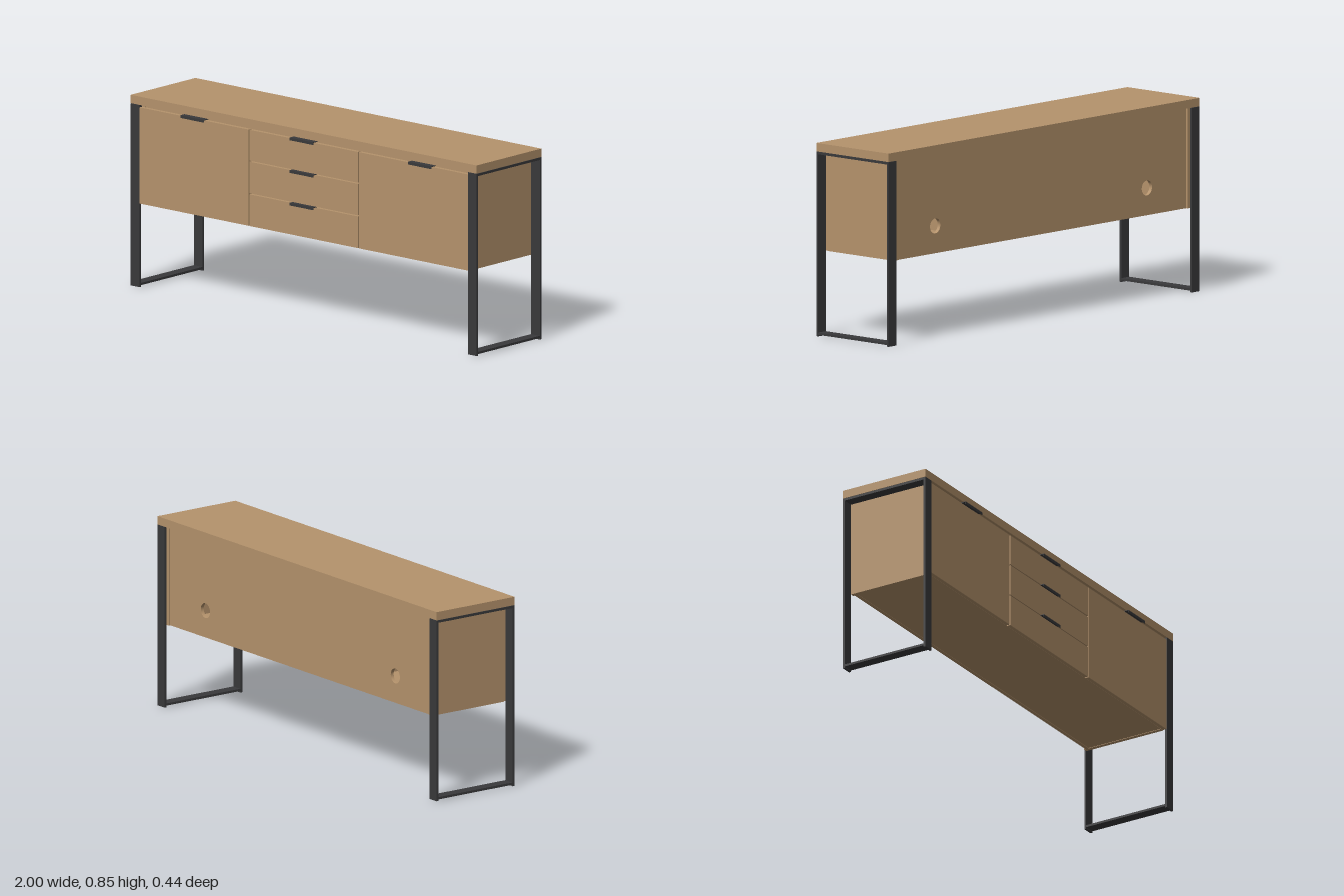
import * as THREE from 'three';

export function createModel() {
  const model = new THREE.Group();
  model.name = 'sideboard';
  const wood = new THREE.MeshStandardMaterial({ name: 'oak wood', color: 0xb5936c });
  const metal = new THREE.MeshStandardMaterial({ name: 'dark metal', color: 0x39393b });

  // Box given by its lower and upper limits on each axis
  function box(name, mat, [x0, x1], [y0, y1], [z0, z1], parent = model) {
    const mesh = new THREE.Mesh(new THREE.BoxGeometry(x1 - x0, y1 - y0, z1 - z0), mat);
    mesh.position.set((x0 + x1) / 2, (y0 + y1) / 2, (z0 + z1) / 2);
    mesh.name = name;
    parent.add(mesh);
    return mesh;
  }

  const FRONT = 0.205, BACK = -0.218;

  // Table top and hollow carcass
  box('tableTop', wood, [-1, 1], [0.811, 0.848], [BACK, FRONT]);
  box('carcassTop', wood, [-0.93, 0.93], [0.795, 0.811], [-0.195, 0.185]);
  box('carcassBottom', wood, [-0.932, 0.932], [0.372, 0.39], [-0.185, 0.185]);
  for (const s of [-1, 1]) {
    const xs = [s * 0.932, s * 0.95].sort((a, b) => a - b);
    box('sidePanel', wood, xs, [0.37, 0.811], [-0.208, 0.186]);
    box('divider', wood, [s * 0.316 - 0.009, s * 0.316 + 0.009], [0.39, 0.795], [-0.185, 0.185]);
  }

  // Back panel with two round cable holes
  const back = new THREE.Shape();
  back.moveTo(-0.932, 0.37);
  back.lineTo(0.932, 0.37);
  back.lineTo(0.932, 0.811);
  back.lineTo(-0.932, 0.811);
  back.closePath();
  for (const x of [-0.68, 0.68]) {
    back.holes.push(new THREE.Path().absarc(x, 0.49, 0.033, 0, Math.PI * 2, true));
  }
  const backPanel = new THREE.Mesh(
    new THREE.ExtrudeGeometry(back, { depth: 0.016, bevelEnabled: false, curveSegments: 24 }), wood);
  backPanel.position.z = -0.2;
  backPanel.name = 'backPanel';
  model.add(backPanel);

  // Doors and the middle stack of three drawers
  const frontZ = [0.186, 0.204];
  box('rightDoor', wood, [-0.949, -0.319], [0.372, 0.8], frontZ);
  box('leftDoor', wood, [0.319, 0.949], [0.372, 0.8], frontZ);
  for (const ys of [[0.372, 0.513], [0.518, 0.658], [0.663, 0.8]]) {
    box('drawerFront', wood, [-0.313, 0.313], ys, frontZ);
  }

  // Folded lip handles hooked over the front edges
  for (const [x, y] of [[-0.632, 0.804], [0.684, 0.804], [0, 0.804], [0, 0.659], [0, 0.514]]) {
    const handle = new THREE.Group();
    handle.name = 'handle';
    const xs = [x - 0.068, x + 0.068];
    box('handlePlate', metal, xs, [y, y + 0.003], [0.19, 0.22], handle);
    box('handleLip', metal, xs, [y - 0.009, y], [0.2175, 0.22], handle);
    model.add(handle);
  }

  // Flat-bar leg frames at both ends
  for (const s of [-1, 1]) {
    const frame = new THREE.Group();
    frame.name = s > 0 ? 'leftLegFrame' : 'rightLegFrame';
    const xs = s > 0 ? [0.95, 1] : [-1, -0.95];
    box('frontLeg', metal, xs, [0, 0.81], [FRONT - 0.01, FRONT], frame);
    box('backLeg', metal, xs, [0, 0.81], [BACK, BACK + 0.01], frame);
    box('topBar', metal, xs, [0.799, 0.81], [BACK + 0.01, FRONT - 0.01], frame);
    box('footBar', metal, xs, [0.007, 0.017], [BACK + 0.01, FRONT - 0.01], frame);
    model.add(frame);
  }

  return model;
}
